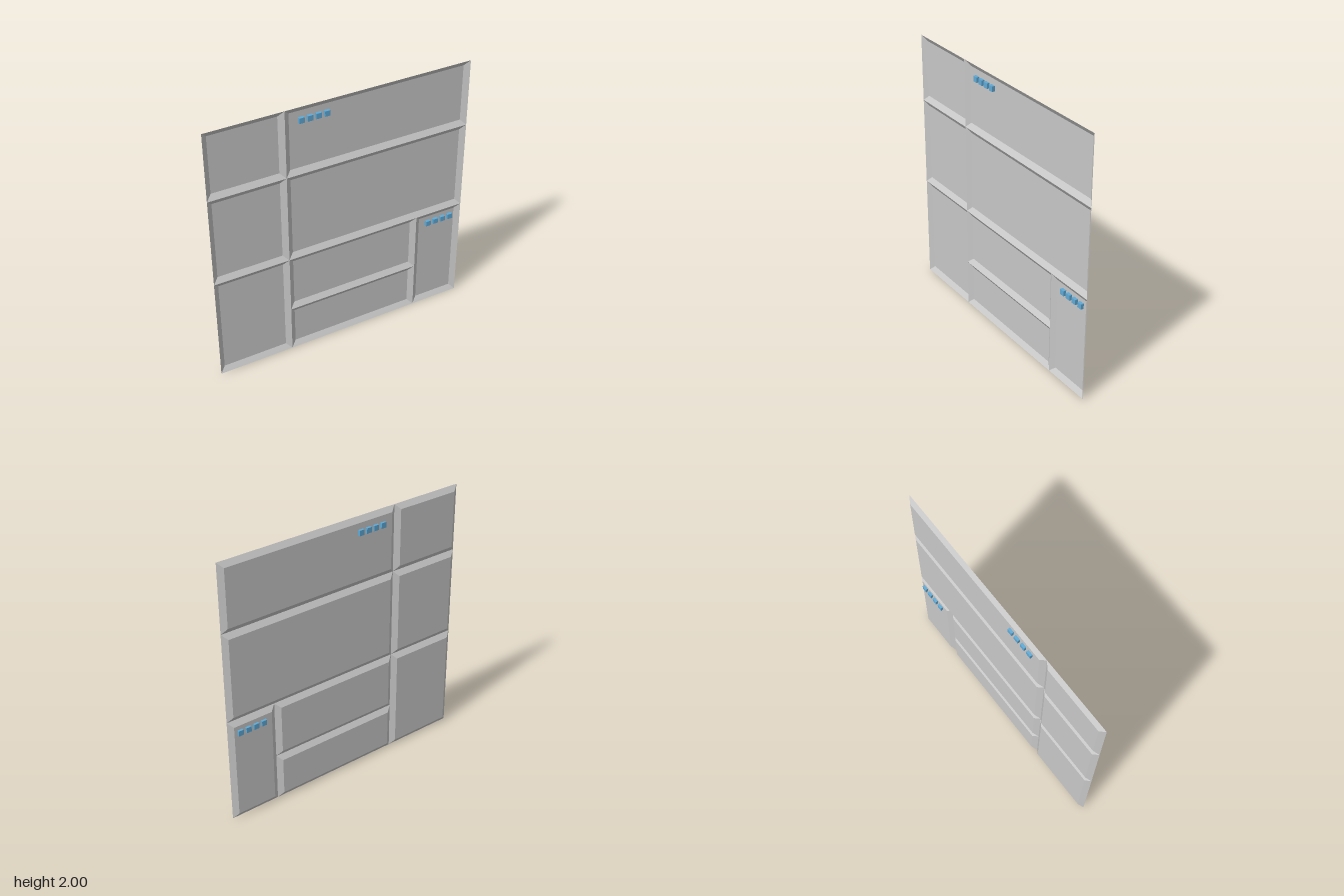
import * as THREE from 'three';

const RIM_Z = 0.022;    // front rim of each tray
const BACK_Z = -0.004;  // recessed back plane
const INSET = 0.04;     // width of the sloped border

// Open tray: a recessed back plate with four flared walls
function trayGeometry(x0, y0, x1, y1) {
  const ring = (d, z) => [
    [x0 + d, y0 + d, z], [x1 - d, y0 + d, z],
    [x1 - d, y1 - d, z], [x0 + d, y1 - d, z],
  ];
  const rim = ring(0, RIM_Z);
  const back = ring(INSET, BACK_Z);
  const positions = [];
  const quad = (a, b, c, d) => positions.push(...a, ...b, ...c, ...a, ...c, ...d);
  quad(...back);
  for (let i = 0; i < 4; i++) {
    const j = (i + 1) % 4;
    quad(rim[i], rim[j], back[j], back[i]);
  }
  const geometry = new THREE.BufferGeometry();
  geometry.setAttribute('position', new THREE.Float32BufferAttribute(positions, 3));
  geometry.computeVertexNormals();
  return geometry;
}

export function createModel() {
  const model = new THREE.Group();
  model.name = 'panelWall';

  const grey = new THREE.MeshStandardMaterial({ color: 0xc8c8c8, side: THREE.DoubleSide });
  grey.name = 'panelGrey';
  const blue = new THREE.MeshStandardMaterial({ color: 0x60aad6 });
  blue.name = 'buttonBlue';

  // Trays: name, left, bottom, right, top
  const split = -0.428, side = 0.614, low = 0.365, mid = 0.81, high = 1.49;
  const trays = [
    ['lowerNarrowPanel', -1, 0, split, mid],
    ['middleNarrowPanel', -1, mid, split, high],
    ['upperNarrowPanel', -1, high, split, 2],
    ['upperWidePanel', split, high, 1, 2],
    ['middleWidePanel', split, mid, 1, high],
    ['lowerDrawerPanel', split, 0, side, low],
    ['upperDrawerPanel', split, low, side, mid],
    ['cornerPanel', side, 0, 1, mid],
  ];
  for (const [name, ...bounds] of trays) {
    const tray = new THREE.Mesh(trayGeometry(...bounds), grey);
    tray.name = name;
    model.add(tray);
  }

  // Rows of four small cubes set through the back plates
  const cube = new THREE.BoxGeometry(0.04, 0.04, 0.04);
  for (const [name, x, y] of [['upperButtons', -0.302, 1.893], ['cornerButtons', 0.727, 0.718]]) {
    const row = new THREE.Group();
    row.name = name;
    for (let i = 0; i < 4; i++) {
      const button = new THREE.Mesh(cube, blue);
      button.name = 'button';
      button.position.set(x + i * 0.063, y, -0.002);
      row.add(button);
    }
    model.add(row);
  }

  return model;
}
